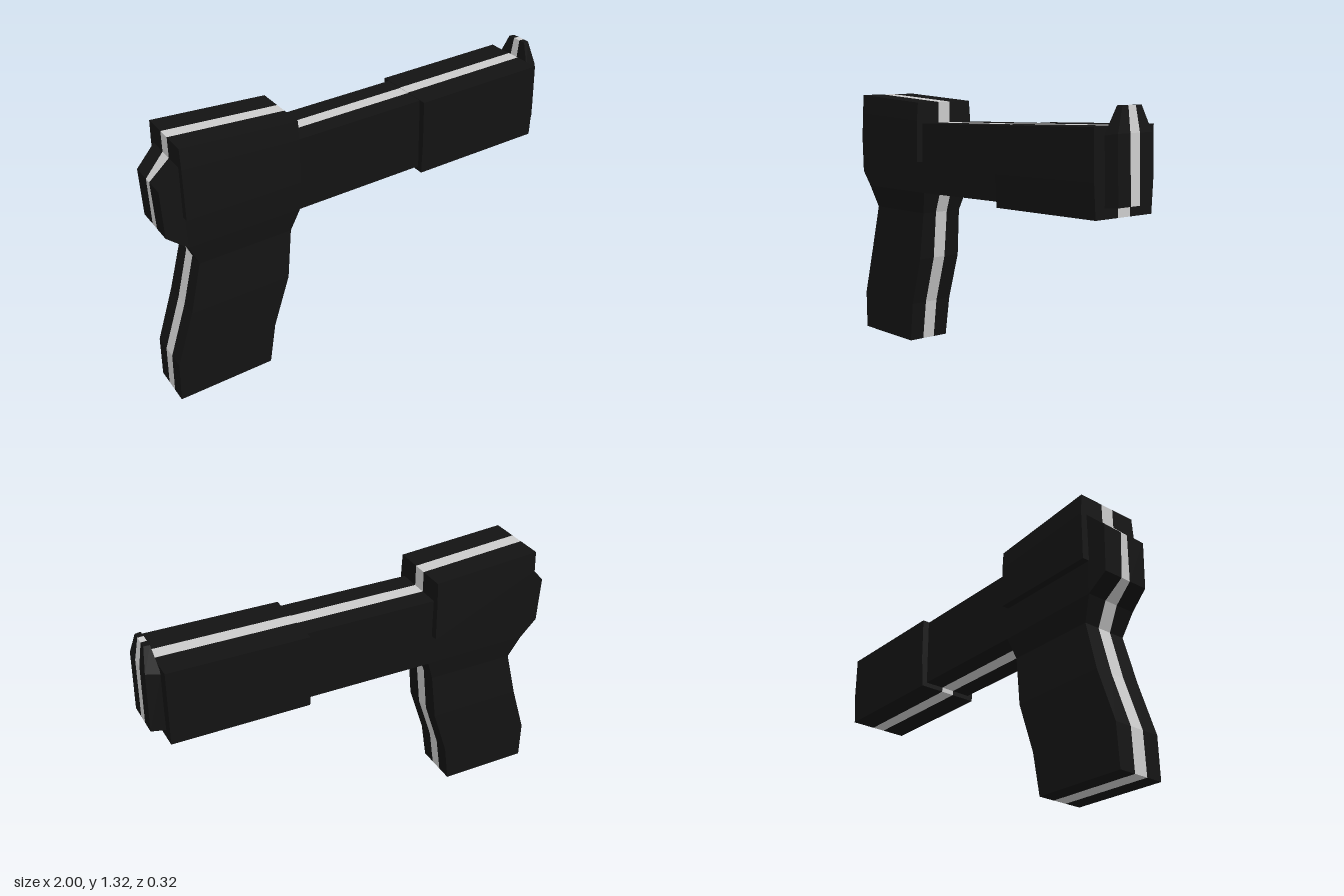
import * as THREE from 'three';

const darkMaterial = new THREE.MeshStandardMaterial({ color: 0x131313, flatShading: true });
const stripMaterial = new THREE.MeshStandardMaterial({ color: 0xcccccc, flatShading: true });
const STRIP = 0.033; // half width of the light centre strip

// A slab made of rows of corner pairs [a, b]; each corner is [x, y, halfWidth, stripHalfWidth].
// The outline runs up the b side and back down the a side, counter-clockwise from the front.
function slab(name, rows) {
  const dark = [], strip = [];
  const at = (c, z) => [c[0], c[1], z];
  const quad = (out, p, q, r, s) => out.push(...p, ...q, ...r, ...p, ...r, ...s);

  // Side faces, front and back
  for (let i = 0; i + 1 < rows.length; i++) {
    const loop = [rows[i][0], rows[i][1], rows[i + 1][1], rows[i + 1][0]];
    quad(dark, ...loop.map(c => at(c, c[2])));
    quad(dark, ...loop.slice().reverse().map(c => at(c, -c[2])));
  }

  // Edge walls: dark, light strip, dark
  const outline = [...rows.map(r => r[1]), ...rows.map(r => r[0]).reverse()];
  const bands = c => {
    const s = c[3] ?? STRIP;
    return [-c[2], -s, s, c[2]];
  };
  outline.forEach((c, i) => {
    const d = outline[(i + 1) % outline.length];
    const zc = bands(c), zd = bands(d);
    for (let k = 0; k < 3; k++) {
      quad(k === 1 ? strip : dark, at(c, zc[k + 1]), at(c, zc[k]), at(d, zd[k]), at(d, zd[k + 1]));
    }
  });

  const group = new THREE.Group();
  group.name = name;
  const add = (label, data, material) => {
    const geometry = new THREE.BufferGeometry();
    geometry.setAttribute('position', new THREE.Float32BufferAttribute(data, 3));
    geometry.computeVertexNormals();
    const mesh = new THREE.Mesh(geometry, material);
    mesh.name = name + label;
    group.add(mesh);
  };
  add('Shell', dark, darkMaterial);
  add('Strip', strip, stripMaterial);
  return group;
}

export function createModel() {
  const model = new THREE.Group();
  model.name = 'pistolProp';

  // Slanted grip, bottom to top
  model.add(slab('grip', [
    [[-1, 0, 0.11], [-0.535, 0.025, 0.11]],
    [[-0.995, 0.2, 0.114], [-0.505, 0.23, 0.114]],
    [[-0.91, 0.46, 0.116], [-0.425, 0.48, 0.116]],
    [[-0.85, 0.7, 0.108], [-0.4, 0.72, 0.108]],
    [[-0.9, 0.81, 0.128], [-0.36, 0.83, 0.128]],
  ]));

  // Long body, rear to front
  model.add(slab('body', [
    [[-1, 1.105, 0.116, 0.018], [-0.992, 0.88, 0.116, 0.024]],
    [[-0.91, 1.2, 0.128], [-0.9, 0.81, 0.128]],
    [[-0.37, 1.175, 0.128], [-0.36, 0.83, 0.128]],
    [[0.3, 1.204, 0.128], [0.3, 0.862, 0.128]],
  ]));

  // Raised block over the grip
  model.add(slab('rearBlock', [
    [[-0.91, 0.965, 0.162], [-0.37, 0.985, 0.162]],
    [[-0.91, 1.2, 0.159], [-0.37, 1.19, 0.159]],
    [[-0.91, 1.295, 0.152], [-0.37, 1.277, 0.152]],
  ]));

  // Wider block around the front of the body
  model.add(slab('frontBlock', [
    [[0.28, 0.838, 0.153], [0.935, 0.868, 0.153]],
    [[0.278, 0.99, 0.162], [0.932, 1.02, 0.162]],
    [[0.275, 1.205, 0.162], [0.925, 1.236, 0.162]],
  ]));

  // End plate with its raised sight
  model.add(slab('endPlate', [
    [[0.925, 0.912, 0.107, 0.024], [0.998, 0.92, 0.092, 0.024]],
    [[0.923, 1.2, 0.107, 0.024], [0.986, 1.21, 0.092, 0.026]],
    [[0.938, 1.317, 0.055, 0.02], [0.965, 1.317, 0.052, 0.02]],
  ]));

  return model;
}
